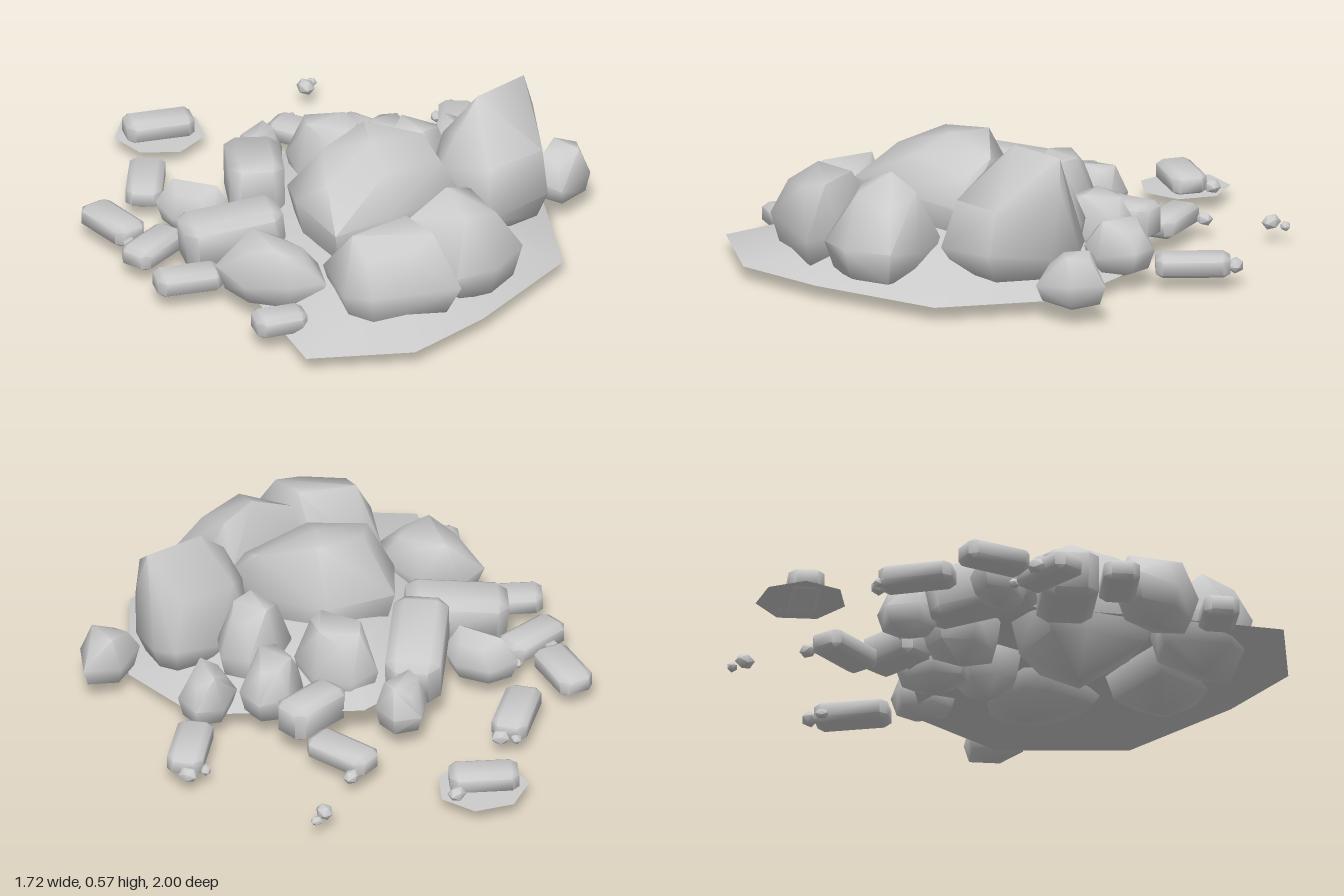
import * as THREE from 'three';
import { mergeVertices, toCreasedNormals } from 'three/addons/utils/BufferGeometryUtils.js';
import { ConvexGeometry } from 'three/addons/geometries/ConvexGeometry.js';

const stone = new THREE.MeshStandardMaterial({ color: 0xcccccc });
const sheet = new THREE.MeshStandardMaterial({ color: 0xcccccc, side: THREE.DoubleSide });
const V = (x, y, z) => new THREE.Vector3(x, y, z);

// Softly shaded convex stone from its corner points
function hull(points) {
  const g = new ConvexGeometry(points);
  g.deleteAttribute('normal');
  return toCreasedNormals(mergeVertices(g, 1e-4), 1.15);
}

// Boulder: plan outline [x, z] at its widest level, narrowed below, crowned by top points [x, y, z]
function boulder(outline, bottom, waist, crown) {
  const n = outline.length;
  const cx = outline.reduce((s, p) => s + p[0], 0) / n;
  const cz = outline.reduce((s, p) => s + p[1], 0) / n;
  const pts = [V(cx, bottom, cz)];
  outline.forEach(([x, z], i) => {
    pts.push(V(x, waist + 0.012 * Math.sin(i * 2.4), z));
    pts.push(V(cx + (x - cx) * 0.82, bottom + (waist - bottom) * 0.35, cz + (z - cz) * 0.82));
  });
  crown.forEach((p) => pts.push(V(...p)));
  return hull(pts);
}

// Smaller stone: uneven ellipse in plan, its long axis at the given angle from +x towards +z
function smallStone(x, z, long, short, angle, top, sides) {
  const at = (t, s) => {
    const u = Math.cos(t) * long * s, v = Math.sin(t) * short * s;
    return [x + u * Math.cos(angle) - v * Math.sin(angle), z + u * Math.sin(angle) + v * Math.cos(angle)];
  };
  const outline = [], crown = [];
  for (let i = 0; i < sides; i++) {
    const t = (i / sides) * Math.PI * 2;
    outline.push(at(t, 1 + 0.05 * Math.sin(i * 4.1 + x * 9)));
    const [cx, cz] = at(t + 0.2, 0.62);
    crown.push([cx, top - 0.025 * (1 + Math.sin(i * 2.1 + z * 7)), cz]);
  }
  return boulder(outline, 0.04, 0.04 + (top - 0.04) * 0.48, crown);
}

// Worn brick: chamfered bar along x
function brick(length, width, height) {
  const l = length / 2, w = width / 2, h = height / 2, c = width * 0.2;
  const pts = [];
  for (const sx of [-1, 1]) for (const sy of [-1, 1]) for (const sz of [-1, 1]) {
    pts.push(V(sx * l, sy * (h - c * 0.6), sz * (w - c)));
    pts.push(V(sx * (l - c), sy * (h - c * 0.6), sz * w));
    pts.push(V(sx * (l - c), sy * h, sz * (w - c)));
  }
  return hull(pts);
}

// Open sheet: outline loop, lifted at the back, then shrinking loops [scale, y] to a peak
function mound(outline, loops, peak, backLift) {
  const n = outline.length, pos = [], idx = [];
  for (const [s, y] of loops) for (const [x, z] of outline)
    pos.push(peak[0] + (x - peak[0]) * s, y + backLift * s * Math.max(0, 0.1 - z), peak[2] + (z - peak[2]) * s);
  pos.push(...peak);
  const last = loops.length - 1, tip = loops.length * n;
  for (let k = 0; k <= last; k++) for (let i = 0; i < n; i++) {
    const j = (i + 1) % n, a = k * n + i, b = k * n + j;
    if (k === last) idx.push(a, b, tip);
    else idx.push(a, b, b + n, a, b + n, a + n);
  }
  const g = new THREE.BufferGeometry();
  g.setAttribute('position', new THREE.Float32BufferAttribute(pos, 3));
  g.setIndex(idx);
  g.computeVertexNormals();
  return g;
}

export function createModel() {
  const group = new THREE.Group();
  const add = (name, geometry, material = stone) => {
    const mesh = new THREE.Mesh(geometry, material);
    mesh.name = name;
    group.add(mesh);
    return mesh;
  };

  // Earth under the heap
  add('groundMound', mound(
    [[-0.76, 0.78], [-0.43, 1], [-0.08, 0.97], [0.41, 0.84], [0.66, 0.43], [0.59, 0.08],
      [0.12, -0.32], [-0.25, -0.22], [-0.62, 0.35]],
    [[1, 0.055], [0.55, 0.17]], [-0.03, 0.25, 0.32], 0.22), sheet);

  // Small flat patch behind, a regular heptagon
  const patch = Array.from({ length: 7 }, (_, i) => {
    const t = 0.9 - (i / 7) * Math.PI * 2;
    return [-0.07 + 0.17 * Math.cos(t), -0.835 + 0.165 * Math.sin(t)];
  });
  add('groundPatch', mound(patch, [[1, 0.055]], [-0.07, 0.06, -0.835], 0), sheet);

  // Four large boulders
  add('centreBoulder', boulder(
    [[-0.38, 0.5], [-0.33, 0.22], [-0.25, 0.08], [0.03, 0.09], [0.17, 0.28], [0.2, 0.5], [-0.15, 0.54]],
    0, 0.3, [[-0.2, 0.48, 0.22], [0.01, 0.51, 0.2], [-0.06, 0.5, 0.32], [0.17, 0.46, 0.34], [-0.3, 0.42, 0.36],
      [-0.1, 0.44, 0.45], [0.16, 0.4, 0.45]]));
  add('tallBoulder', boulder(
    [[0.2, 0.4], [0.24, 0.29], [0.4, 0.24], [0.57, 0.25], [0.62, 0.32], [0.61, 0.46], [0.5, 0.65], [0.23, 0.64]],
    0.07, 0.21, [[0.37, 0.57, 0.41], [0.6, 0.57, 0.4], [0.26, 0.47, 0.43], [0.625, 0.45, 0.42], [0.5, 0.39, 0.62],
      [0.27, 0.38, 0.6], [0.52, 0.39, 0.29], [0.3, 0.4, 0.3], [0.2, 0.33, 0.4]]));
  add('frontRightBoulder', boulder(
    [[-0.53, 0.72], [-0.44, 0.5], [-0.38, 0.48], [-0.2, 0.55], [-0.13, 0.8], [-0.16, 0.94], [-0.48, 0.82]],
    0.03, 0.2, [[-0.42, 0.38, 0.64], [-0.2, 0.4, 0.68], [-0.19, 0.38, 0.82], [-0.45, 0.33, 0.76], [-0.3, 0.35, 0.83]]));
  add('frontMiddleBoulder', boulder(
    [[-0.21, 0.6], [0.15, 0.57], [0.2, 0.72], [0.2, 0.86], [0.02, 0.92], [-0.13, 0.88]],
    0.03, 0.2, [[0, 0.44, 0.67], [0.12, 0.39, 0.66], [-0.16, 0.37, 0.66], [-0.03, 0.38, 0.81], [0.13, 0.34, 0.8]]));

  // Smaller stones around them: x, z, half length, half width, angle, top, sides
  add('rightSideStone', smallStone(-0.565, 0.36, 0.21, 0.135, 1.15, 0.3, 7));
  add('leftOuterStone', smallStone(0.73, 0.46, 0.135, 0.105, -0.35, 0.26, 5));
  add('leftBackStone', smallStone(0.55, 0.06, 0.135, 0.1, -0.7, 0.26, 6));
  add('backLeftStone', smallStone(0.33, -0.03, 0.15, 0.115, -0.7, 0.3, 7));
  add('innerLeftStone', smallStone(0.29, 0.17, 0.145, 0.12, -0.1, 0.4, 7));
  add('backMiddleStone', smallStone(0.085, -0.07, 0.175, 0.135, 1.4, 0.38, 7));
  add('backStone', smallStone(-0.02, -0.35, 0.12, 0.1, -0.8, 0.26, 6));
  add('backRightStone', smallStone(-0.43, -0.22, 0.14, 0.1, 0.9, 0.24, 6));

  // Bricks lying flat on the ground: x, z, length, turn
  const scattered = [
    [-0.08, -0.83, 0.25, -0.45], [-0.39, -0.54, 0.27, 0.79], [-0.675, -0.39, 0.25, 1.52], [-0.68, -0.16, 0.25, 0.22],
    [-0.74, 0.1, 0.24, -0.45], [-0.69, 0.55, 0.19, -0.4], [0.28, -0.44, 0.26, -1.2], [0.735, -0.13, 0.27, 0.85],
  ];
  for (const [x, z, length, turn] of scattered) {
    const mesh = add('scatteredBrick', brick(length, 0.13, 0.08));
    mesh.position.set(x, 0.09, z);
    mesh.rotation.y = turn;
  }

  // Bricks leaning on the heap: x, y, z, length, width, height, turn, tilt
  const leaning = [
    [0.28, 0.15, -0.22, 0.25, 0.14, 0.13, 0.24, 0],
    [-0.48, 0.16, 0.04, 0.37, 0.2, 0.18, -0.46, 0.1],
    [-0.2, 0.21, -0.16, 0.39, 0.2, 0.19, 0.93, -0.2],
  ];
  for (const [x, y, z, l, w, h, turn, tilt] of leaning) {
    const mesh = add('leaningBrick', brick(l, w, h));
    mesh.position.set(x, y, z);
    mesh.rotation.set(0, turn, tilt);
  }

  // Pebbles: x, z, radius
  const pebbles = [
    [0.05, -0.86, 0.033], [-0.32, -0.655, 0.024], [-0.27, -0.63, 0.034], [-0.72, -0.24, 0.034], [-0.57, -0.24, 0.022],
    [0.32, -0.57, 0.032], [0.52, -0.715, 0.035], [0.567, -0.74, 0.022], [0.745, -0.255, 0.024], [0.82, -0.26, 0.035],
  ];
  pebbles.forEach(([x, z, r], i) => {
    const g = new THREE.IcosahedronGeometry(r, 0);
    g.deleteAttribute('normal');
    g.deleteAttribute('uv');
    const mesh = add('pebble', toCreasedNormals(mergeVertices(g), 0.9));
    mesh.position.set(x, 0.05 + r * 0.8, z);
    mesh.scale.set(1.1, 0.85, 0.9);
    mesh.rotation.y = i * 1.3;
  });

  return group;
}
